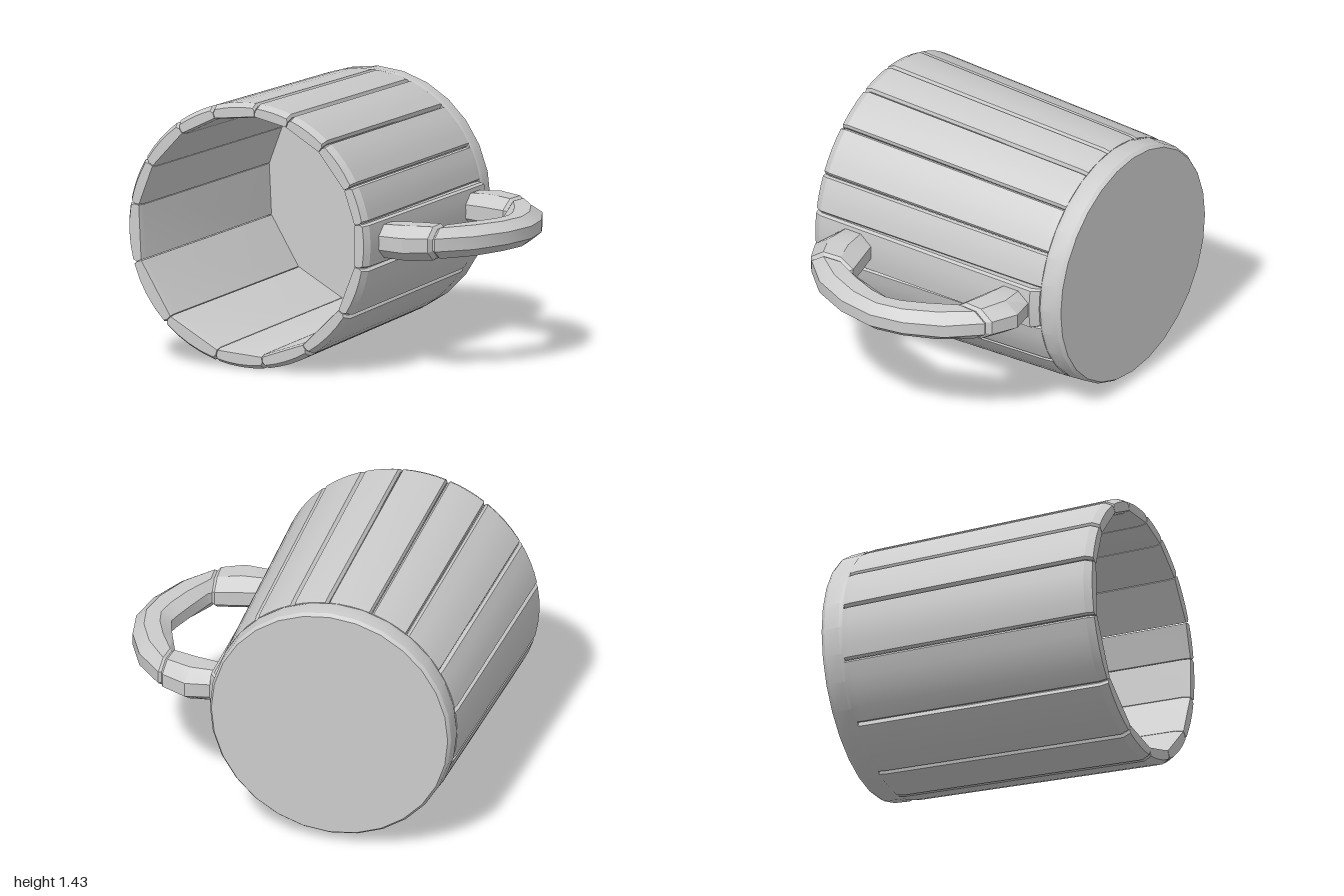
import * as THREE from 'three';
import { toCreasedNormals } from 'three/addons/utils/BufferGeometryUtils.js';

const CX = -0.29, CY = 0.713;

// Closed solid through a list of convex rings (each counter-clockwise seen from its far end)
function loft(rings, crease) {
  const n = rings[0].length, last = rings.length - 1, index = [];
  for (let i = 0; i < last; i++) {
    for (let j = 0; j < n; j++) {
      const a = i * n + j, b = i * n + (j + 1) % n;
      index.push(a, b, b + n, a, b + n, a + n);
    }
  }
  for (let j = 1; j < n - 1; j++) {
    index.push(0, j + 1, j);
    index.push(last * n, last * n + j, last * n + j + 1);
  }
  const g = new THREE.BufferGeometry().setFromPoints(rings.flat());
  g.setIndex(index);
  return toCreasedNormals(g, crease);
}

// Cross-section of a stave: curved outside with bevelled edges, flat inside
function staveRing(a0, a1, z, ro, ri) {
  const gap = 0.003, bevel = 0.016, ring = [];
  const add = (a, r) => ring.push(new THREE.Vector3(CX + r * Math.cos(a), CY + r * Math.sin(a), z));
  const b0 = a0 + gap, b1 = a1 - gap;
  add(b0, ro - bevel);
  for (let k = 0; k <= 4; k++) add(THREE.MathUtils.lerp(b0 + bevel, b1 - bevel, k / 4), ro);
  add(b1, ro - bevel);
  add(b1, ri);
  add(b0, ri);
  return ring;
}

// Handle cross-section from its inner and outer edge (x, z) and half height
function handleRing([ix, iz, ox, oz, h]) {
  const ring = [];
  for (let k = 0; k < 8; k++) {
    const a = (k + 0.5) * Math.PI / 4, c = Math.cos(a) / Math.cos(Math.PI / 8), s = Math.sin(a) / Math.cos(Math.PI / 8);
    ring.push(new THREE.Vector3(
      (ix + ox) / 2 + c * (ox - ix) / 2, 0.713 + s * h, (iz + oz) / 2 + c * (oz - iz) / 2));
  }
  return ring;
}

export function createModel() {
  const group = new THREE.Group();
  const grey = new THREE.MeshStandardMaterial({ color: 0xcccccc });
  grey.name = 'grey wood';
  const add = (name, geometry) => {
    const mesh = new THREE.Mesh(geometry, grey);
    mesh.name = name;
    group.add(mesh);
  };

  // Staves of uneven width around the tapering barrel, open towards the front
  const seams = [-10, 10, 27, 49, 69, 86, 107, 126, 149, 169.5, 196, 226, 254.5, 278, 301, 327, 350];
  for (let i = 0; i < seams.length - 1; i++) {
    const a0 = THREE.MathUtils.degToRad(seams[i]), a1 = THREE.MathUtils.degToRad(seams[i + 1]);
    const back = i === 0 ? 0.708 : 0.672; // the stave behind the handle keeps its full thickness
    add('stave', loft([
      staveRing(a0, a1, -0.66, i === 0 ? 0.672 : back - 0.006, 0.6),
      staveRing(a0, a1, -0.62, back, 0.602),
      staveRing(a0, a1, 0.745, 0.713, 0.638),
      staveRing(a0, a1, 0.785, 0.692, 0.648),
    ], 0.45));
  }

  // Round base closing the back end
  const profile = [[0, -0.785], [0.65, -0.785], [0.664, -0.765], [0.67, -0.68], [0.664, -0.658], [0, -0.658]]
    .map(([r, y]) => new THREE.Vector2(r, y));
  const base = new THREE.LatheGeometry(profile, 28);
  base.rotateX(Math.PI / 2);
  base.translate(CX, CY, 0);
  add('base', toCreasedNormals(base, 0.4));

  // Handle in three chunky pieces, back to front
  const pieces = {
    handleBackEnd: [
      [0.36, -0.40, 0.36, -0.58, 0.07], [0.42, -0.385, 0.42, -0.615, 0.09],
      [0.53, -0.355, 0.55, -0.64, 0.095], [0.67, -0.32, 0.69, -0.575, 0.09], [0.69, -0.335, 0.705, -0.54, 0.075],
    ],
    handleGrip: [
      [0.685, -0.33, 0.70, -0.54, 0.07], [0.70, -0.30, 0.72, -0.55, 0.083], [0.755, -0.155, 0.87, -0.39, 0.083],
      [0.79, -0.06, 0.965, -0.19, 0.08], [0.805, 0, 1, 0, 0.08],
      [0.79, 0.06, 0.965, 0.21, 0.08], [0.755, 0.17, 0.87, 0.42, 0.083], [0.70, 0.33, 0.72, 0.58, 0.083],
      [0.685, 0.35, 0.70, 0.57, 0.07],
    ],
    handleFrontEnd: [
      [0.69, 0.36, 0.705, 0.57, 0.075], [0.67, 0.345, 0.69, 0.605, 0.09], [0.55, 0.375, 0.57, 0.665, 0.095],
      [0.42, 0.41, 0.42, 0.645, 0.09], [0.37, 0.42, 0.37, 0.62, 0.07],
    ],
  };
  for (const [name, sections] of Object.entries(pieces)) add(name, loft(sections.map(handleRing), 0.35));

  return group;
}
